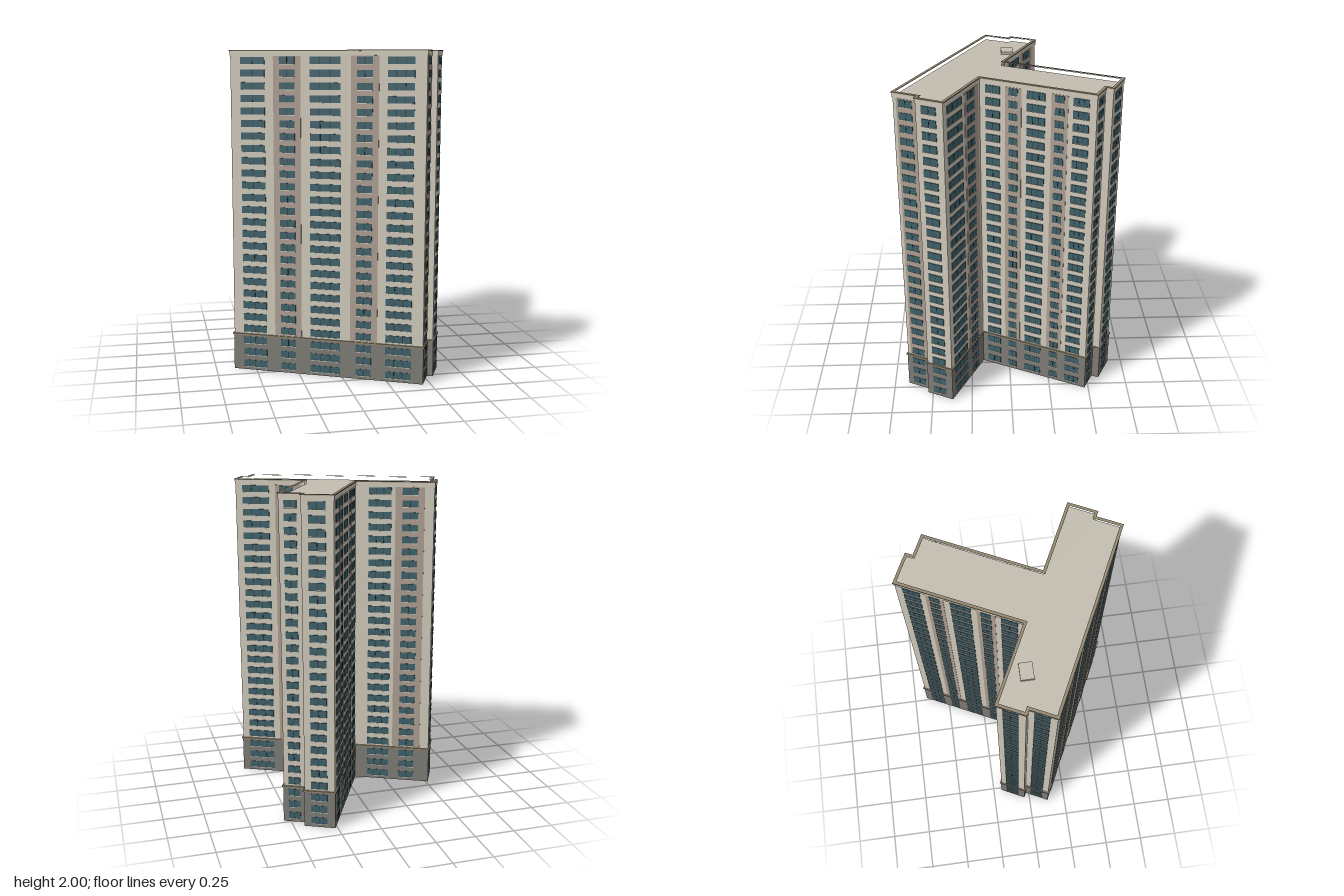
import * as THREE from 'three';
import { mergeGeometries } from 'three/addons/utils/BufferGeometryUtils.js';

const mat = (name, color) => {
  const m = new THREE.MeshStandardMaterial({ color });
  m.name = name;
  return m;
};

// Footprint in the building's own axes: u along the main slab, v along the rear wing
const PLAN = [
  [-0.035, 0.35], [0.46, 0.35], [0.46, 1.113], [0.66, 1.113], [0.66, 1.067], [0.798, 1.067], [0.798, 0.346],
  [1.253, 0.346], [1.253, 0.162], [1.217, 0.162], [1.217, 0], [0, 0], [0, 0.166], [-0.035, 0.166],
];
const C = 0.898, S = 0.44;
const FOOT = PLAN.map(([u, v]) => [-0.64 + u * C + v * S, 0.13 + u * S - v * C]);

const edge = (pts, i) => {
  const a = pts[i], b = pts[(i + 1) % pts.length];
  const dx = b[0] - a[0], dz = b[1] - a[1], len = Math.hypot(dx, dz);
  return { a, dx, dz, len, nx: dz / len, nz: -dx / len };
};

// All corners are square, so a mitre is the sum of the two edge normals
const offset = (d) => FOOT.map((p, i) => {
  const e = edge(FOOT, i), f = edge(FOOT, (i + FOOT.length - 1) % FOOT.length);
  return [p[0] + d * (e.nx + f.nx), p[1] + d * (e.nz + f.nz)];
});
const toVec = (pts) => pts.map(([x, z]) => new THREE.Vector2(x, -z));

function prism(outer, y0, y1, inner) {
  const shape = new THREE.Shape(toVec(offset(outer)));
  if (inner !== undefined) shape.holes.push(new THREE.Path(toVec(offset(inner))));
  const g = new THREE.ExtrudeGeometry(shape, { depth: y1 - y0, bevelEnabled: false });
  return g.rotateX(-Math.PI / 2).translate(0, y0, 0);
}

// Bays along a wall: [start, end, panes], and coloured strips: [start, end]
const LONG = {
  bays: [[0.053, 0.18, 2], [0.257, 0.337, 2], [0.416, 0.572, 3], [0.655, 0.734, 2], [0.808, 0.94, 3]],
  strips: [[0.225, 0.368], [0.625, 0.765]],
};
const flip = (w) => ({
  bays: w.bays.map(([s, e, n]) => [1 - e, 1 - s, n]),
  strips: w.strips.map(([s, e]) => [1 - e, 1 - s]),
});
const END = { bays: [[0.25, 0.78, 2]], strips: [] };
const WALLS = {
  0: { bays: [[0.2, 0.4, 2], [0.54, 0.83, 3]], strips: [[0.12, 0.49]] },
  1: LONG,
  2: END,
  4: END,
  5: flip(LONG),
  6: { bays: [[0.17, 0.37, 2], [0.52, 0.9, 3]], strips: [[0.05, 0.43]] },
  7: END,
  9: { bays: END.bays, strips: [[0.07, 0.87]] },
  10: flip(LONG),
  11: END,
  13: END,
};

export function createModel() {
  const model = new THREE.Group();
  const cream = mat('cream wall', 0xd3ccbd);
  const strip = mat('taupe strip', 0xb0a093);
  const plinth = mat('grey plinth', 0x807d77);
  const glass = mat('teal glass', 0x40626b);
  const frame = mat('dark mullion', 0x2c3e43);
  const roof = mat('roof', 0xc3beb0);
  const trim = mat('brown trim', 0x92866f);
  const add = (name, geometry, material) => {
    const mesh = new THREE.Mesh(geometry, material);
    mesh.name = name;
    model.add(mesh);
  };

  // Body, plinth, ledge, roof and parapet
  const inset = -0.007, ledgeY = 0.23, roofY = 1.972;
  add('plinth', prism(inset + 0.003, 0, ledgeY), plinth);
  add('tower', prism(inset, ledgeY, roofY - 0.004), cream);
  add('ledge', prism(0.002, ledgeY - 0.004, ledgeY + 0.005), trim);
  add('roofDeck', prism(inset - 0.001, roofY - 0.004, roofY), roof);
  add('parapet', prism(-0.004, roofY - 0.004, 1.994, -0.014), cream);
  add('parapetCap', prism(0, 1.994, 2, -0.018), trim);
  add('roofHatch', new THREE.BoxGeometry(0.1, 0.016, 0.076).translate(-0.343, roofY + 0.008, -0.003), roof);

  // Wall plates, gathered per part
  const parts = { strips: [], panes: [], mullions: [], sills: [] };
  const walls = offset(inset);
  const plate = (list, e, s, t, y, h, depth) => {
    const m = (s + t) / 2;
    const g = new THREE.BoxGeometry((t - s) * e.len, h, depth);
    g.rotateY(Math.atan2(e.nx, e.nz));
    list.push(g.translate(e.a[0] + e.dx * m + e.nx * depth / 2, y, e.a[1] + e.dz * m + e.nz * depth / 2));
  };

  for (const [i, wall] of Object.entries(WALLS)) {
    const e = edge(walls, Number(i));
    for (const [s, t] of wall.strips) plate(parts.strips, e, s, t, (ledgeY + 1.966) / 2, 1.966 - ledgeY, 0.002);
    for (const [s, t, n] of wall.bays) {
      for (let row = 0; row < 26; row++) {
        const y = 0.042 + row * 0.0759;
        plate(parts.panes, e, s, t, y, 0.042, 0.005);
        plate(parts.sills, e, s, t, y - 0.023, 0.004, 0.007);
        for (let k = 1; k < n; k++) {
          const m = s + (t - s) * k / n, w = 0.002 / e.len;
          plate(parts.mullions, e, m - w, m + w, y, 0.042, 0.006);
        }
      }
    }
  }
  add('wallStrips', mergeGeometries(parts.strips), strip);
  add('windows', mergeGeometries(parts.panes), glass);
  add('mullions', mergeGeometries(parts.mullions), frame);
  add('windowSills', mergeGeometries(parts.sills), cream);
  return model;
}
